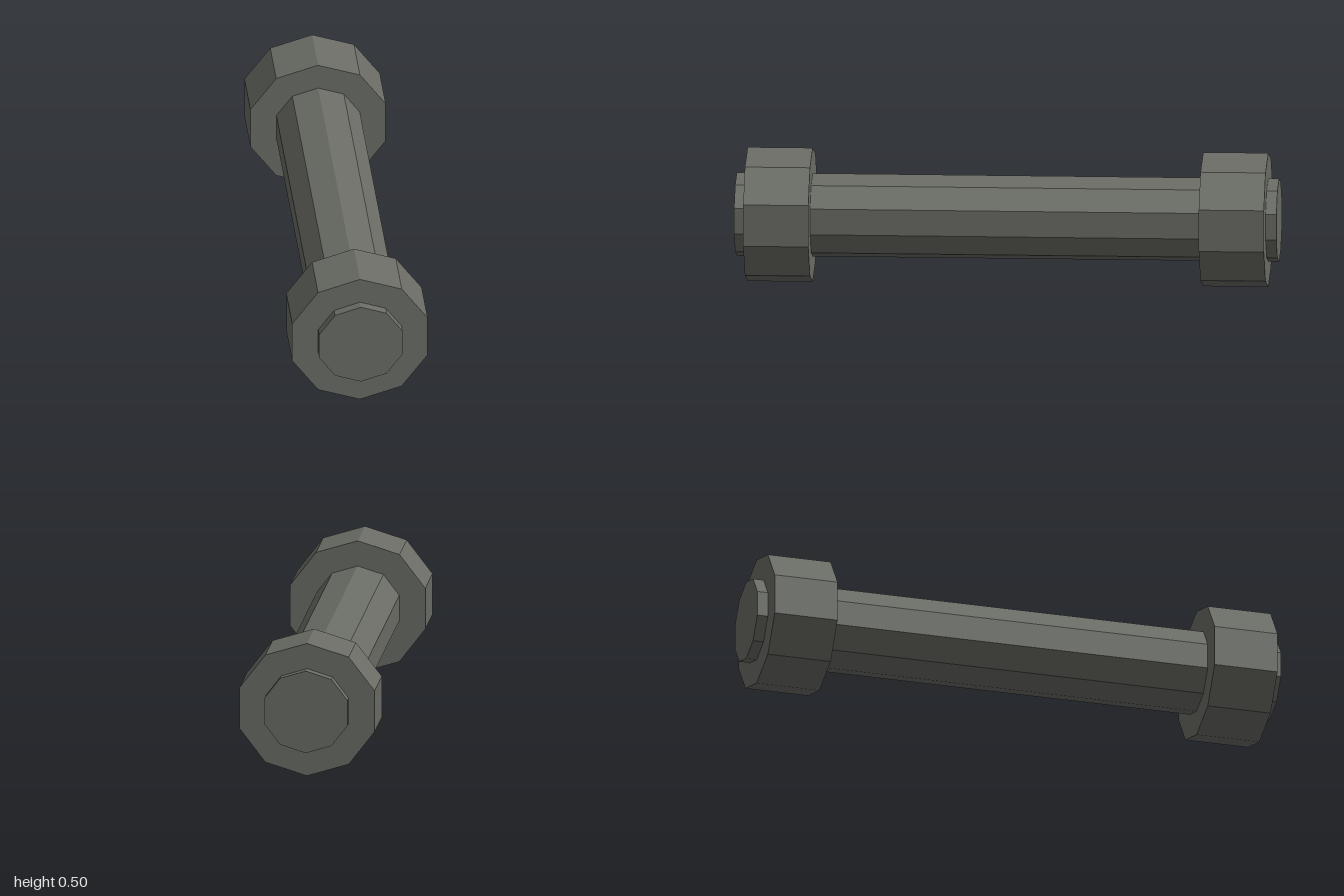
import * as THREE from 'three';

const SIDES = 10;
const CENTRE_Y = 0.25;

// Ten-sided prism lying along z, slightly wider than tall
function prism(name, radiusX, radiusY, length, z, material) {
  const geometry = new THREE.CylinderGeometry(1, 1, length, SIDES);
  geometry.rotateX(Math.PI / 2);
  geometry.scale(radiusX, radiusY, 1);
  const mesh = new THREE.Mesh(geometry, material);
  mesh.name = name;
  mesh.position.set(0, CENTRE_Y, z);
  return mesh;
}

export function createModel() {
  const model = new THREE.Group();
  model.name = 'pipe';

  const metal = new THREE.MeshStandardMaterial({ color: 0x6a6c65 });
  metal.name = 'dark grey metal';
  metal.flatShading = true;

  // Long shaft, poking just past both collars
  model.add(prism('shaft', 0.162, 0.155, 2, 0, metal));

  // Matching collars near the two ends
  for (const [name, side] of [['frontCollar', 1], ['backCollar', -1]]) {
    model.add(prism(name, 0.263, 0.25, 0.24, side * 0.84, metal));
  }
  return model;
}
